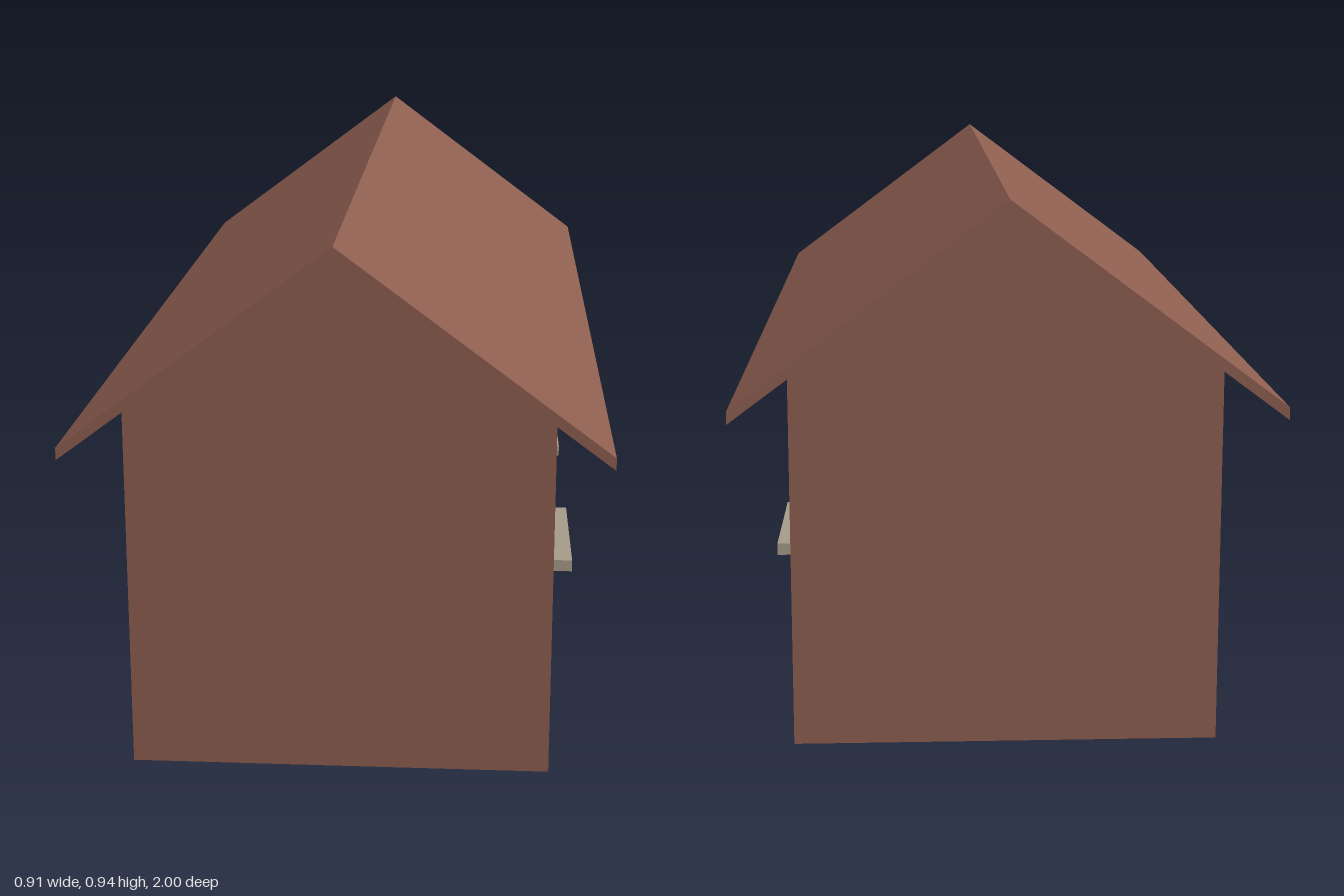
import * as THREE from 'three';

export function createModel() {
  const mat = (name, color, side = THREE.FrontSide) => {
    const m = new THREE.MeshStandardMaterial({ color, side });
    m.name = name;
    return m;
  };
  const brick = mat('brick', 0x8d5e50, THREE.DoubleSide);
  const stone = mat('stone', 0xa69c8a);
  const dark = mat('dark glass', 0x0a0a0a);

  const root = new THREE.Group();
  root.name = 'house';
  const add = (parent, name, geo, material, x = 0, y = 0, z = 0) => {
    const m = new THREE.Mesh(geo, material);
    m.name = name;
    m.position.set(x, y, z);
    parent.add(m);
    return m;
  };
  const box = (parent, name, material, w, h, d, x, y, z) =>
    add(parent, name, new THREE.BoxGeometry(w, h, d), material, x, y, z);

  const W = 0.363, L = 0.905, EAVE = 0.65, PEAK = 0.92;
  const rect = (C, x0, y0, x1, y1) => {
    const p = new C();
    p.moveTo(x0, y0).lineTo(x1, y0).lineTo(x1, y1).lineTo(x0, y1).closePath();
    return p;
  };
  // Rectangular ring extruded from z0 to z1
  const ring = (parent, name, material, hw, hh, t, z0, z1, y) => {
    const s = rect(THREE.Shape, -hw, -hh, hw, hh);
    s.holes.push(rect(THREE.Path, -hw + t, -hh + t, hw - t, hh - t));
    const g = new THREE.ExtrudeGeometry(s, { depth: z1 - z0, bevelEnabled: false });
    return add(parent, name, g, material, 0, y, z0);
  };

  // Gable ends, open underneath
  const gable = new THREE.Shape([
    new THREE.Vector2(-W, 0), new THREE.Vector2(W, 0), new THREE.Vector2(W, EAVE),
    new THREE.Vector2(0, PEAK), new THREE.Vector2(-W, EAVE),
  ]);
  for (const s of [1, -1]) {
    const end = add(root, s > 0 ? 'frontGable' : 'backGable', new THREE.ShapeGeometry(gable), brick, 0, 0, s * L);
    if (s < 0) end.rotation.y = Math.PI;
  }

  // Window in local axes: z = 0 is the wall face, +z points outdoors
  const HW = 0.152, Y0 = 0.22, Y1 = 0.53, YC = (Y0 + Y1) / 2 + 0.005, HH = 0.15;
  function makeWindow() {
    const g = new THREE.Group();
    g.name = 'window';
    ring(g, 'outerTrim', stone, HW, HH, 0.02, -0.004, 0.008, YC);
    ring(g, 'innerFrame', stone, HW - 0.02, HH - 0.02, 0.012, -0.045, -0.004, YC);
    ring(g, 'recessShell', dark, HW - 0.016, HH - 0.016, 0.004, -0.08, -0.006, YC);
    box(g, 'glassBack', dark, 2 * (HW - 0.018), 2 * (HH - 0.018), 0.005, 0, YC, -0.078);
    box(g, 'mullion', stone, 0.016, 2 * HH - 0.06, 0.025, 0, YC, -0.032);
    box(g, 'crossBar', stone, 2 * HW - 0.06, 0.014, 0.025, 0, YC, -0.032);
    box(g, 'sill', stone, 2 * HW, 0.022, 0.06, 0, Y0 + 0.012, 0.021);
    return g;
  }

  // Long side walls with two windows each
  for (const s of [1, -1]) {
    const side = new THREE.Group();
    side.name = s > 0 ? 'leftSide' : 'rightSide';
    side.position.x = s * W;
    side.rotation.y = s * Math.PI / 2;
    root.add(side);
    const wall = rect(THREE.Shape, -L, 0, L, EAVE);
    for (const u of [-0.363, 0.363]) {
      wall.holes.push(rect(THREE.Path, u - HW + 0.002, Y0 + 0.008, u + HW - 0.002, Y1 - 0.002));
      const w = makeWindow();
      w.position.x = u;
      side.add(w);
    }
    add(side, 'sideWall', new THREE.ShapeGeometry(wall), brick);
  }

  // Pitched roof slab overhanging all sides
  const roof = new THREE.Shape([
    [-0.455, 0.582], [0, 0.921], [0.455, 0.582], [0.455, 0.603], [0, 0.942], [-0.455, 0.603],
  ].map(([x, y]) => new THREE.Vector2(x, y)));
  add(root, 'roof', new THREE.ExtrudeGeometry(roof, { depth: 2, bevelEnabled: false }), brick, 0, 0, -1);

  return root;
}
